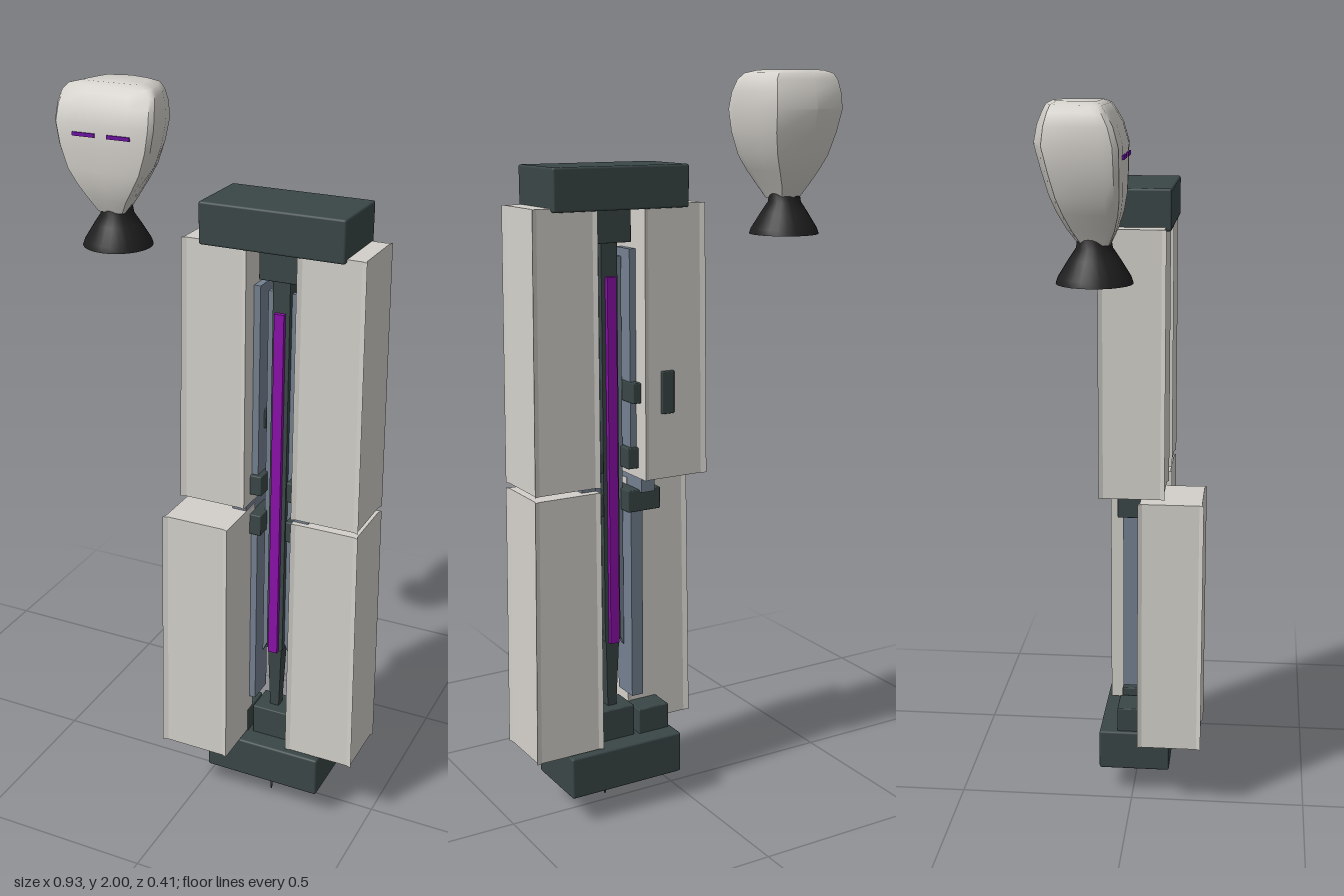
import * as THREE from 'three';
import { toCreasedNormals } from 'three/addons/utils/BufferGeometryUtils.js';
import { RoundedBoxGeometry } from 'three/addons/geometries/RoundedBoxGeometry.js';

const mat = (name, color, side = THREE.FrontSide) => {
  const m = new THREE.MeshStandardMaterial({ color, side });
  m.name = name;
  return m;
};

export function createModel() {
  const shell = mat('pale shell', 0xd3d0ca);
  const frame = mat('dark teal frame', 0x3a4646);
  const steel = mat('blue grey steel', 0x748090);
  const glow = mat('purple glow', 0x8a10a8);
  const eyeGlow = mat('violet eyes', 0x6a10a0);
  const black = mat('black rubber', 0x1e1e1e);

  const model = new THREE.Group();
  const CX = 0.195; // centre line of the cabinet

  const add = (name, geo, material) => {
    const m = new THREE.Mesh(geo, material);
    m.name = name;
    model.add(m);
    return m;
  };
  // box given by its extents
  const box = (name, material, x0, x1, y0, y1, z0, z1, r = 0) => {
    const s = [x1 - x0, y1 - y0, z1 - z0];
    const geo = r ? new RoundedBoxGeometry(...s, 2, r) : new THREE.BoxGeometry(...s);
    add(name, geo, material).position.set((x0 + x1) / 2, (y0 + y1) / 2, (z0 + z1) / 2);
  };
  // box mirrored about the centre line; a..b is the distance from it
  const pair = (name, material, a, b, ...rest) => {
    box(name, material, CX + a, CX + b, ...rest);
    box(name, material, CX - b, CX - a, ...rest);
  };

  // End blocks and collars
  box('topBlock', frame, 0, 0.39, 1.655, 1.765, -0.095, 0.105, 0.006);
  box('bottomBlock', frame, 0.025, 0.365, 0.08, 0.197, -0.097, 0.107, 0.006);
  box('topCollar', frame, 0.142, 0.248, 1.568, 1.66, -0.04, 0.05, 0.003);
  box('bottomCollar', frame, 0.142, 0.248, 0.19, 0.285, -0.04, 0.05, 0.003);

  // Foot plate with two fine pins
  box('footPlate', frame, 0.152, 0.238, 0.066, 0.082, -0.035, 0.052);
  box('longPin', frame, 0.196, 0.2, 0, 0.07, 0.033, 0.037);
  box('shortPin', frame, 0.193, 0.197, 0.04, 0.07, -0.018, -0.014);

  // Central column: narrow foot, main bar, glowing core
  const foot = new THREE.CylinderGeometry(0.029, 0.018, 0.22, 4, 1);
  foot.rotateY(Math.PI / 4);
  add('columnFoot', toCreasedNormals(foot, 0.5), frame).position.set(CX, 0.38, 0.005);
  box('columnBar', frame, 0.172, 0.219, 0.48, 1.58, -0.018, 0.028);
  box('glowCore', glow, 0.181, 0.208, 0.475, 1.48, -0.03, 0.04);

  // Thin steel blades with slanted lower tips
  for (const s of [-1, 1]) {
    const blade = new THREE.Shape([[0.022, 0.5], [0.042, 0.455], [0.042, 1.53], [0.022, 1.53]]
      .map(([x, y]) => new THREE.Vector2(s * x, y)));
    const geo = new THREE.ExtrudeGeometry(blade, { depth: 0.016, bevelEnabled: false });
    add('sideBlade', geo, steel).position.set(CX, 0, -0.003);
  }

  // Rails with dark mounts behind the shells
  pair('lowerRail', steel, 0.05, 0.085, 0.31, 0.86, -0.034, 0.044);
  pair('upperRail', steel, 0.05, 0.085, 1.0, 1.55, -0.034, 0.044);
  pair('railJoint', steel, 0.07, 0.11, 0.9, 0.99, -0.058, 0.075);
  pair('lowerMount', frame, 0.036, 0.135, 0.845, 0.905, -0.045, 0.055, 0.003);
  pair('upperMount', frame, 0.036, 0.135, 0.965, 1.022, -0.045, 0.055, 0.003);
  pair('footMount', frame, 0.066, 0.16, 0.19, 0.268, -0.045, 0.055, 0.003);

  // Shell panels: lipped section, widening outwards towards the floor
  const panel = (name, s, y0, y1, outTop, outBottom, zc) => {
    const i = 0.068, o = outTop, h = 0.09, l = 0.005;
    const pts = [[i, -h], [i + 0.012, -h + l], [o - 0.014, -h + l], [o, -h], [o - l, -h + 0.012],
      [o - l, h - 0.012], [o, h], [o - 0.014, h - l], [i + 0.012, h - l], [i, h]];
    const shape = new THREE.Shape(pts.map(([x, z]) => new THREE.Vector2(s * x, z)));
    const geo = new THREE.ExtrudeGeometry(shape, { depth: y1 - y0, bevelEnabled: false });
    geo.rotateX(-Math.PI / 2);
    const p = geo.attributes.position;
    for (let k = 0; k < p.count; k++) {
      const t = 1 - p.getY(k) / (y1 - y0);
      const f = 1 + t * ((outBottom - i) / (outTop - i) - 1);
      p.setX(k, s * (i + (Math.abs(p.getX(k)) - i) * f));
    }
    geo.computeVertexNormals();
    add(name, geo, shell).position.set(CX, y0, zc);
  };
  panel('upperLeftPanel', 1, 0.938, 1.665, 0.248, 0.257, 0.005);
  panel('upperRightPanel', -1, 0.938, 1.665, 0.248, 0.257, 0.005);
  panel('lowerLeftPanel', 1, 0.2, 0.924, 0.257, 0.268, 0.005);
  panel('lowerRightPanel', -1, 0.2, 0.924, 0.257, 0.268, 0.112); // slid forward

  // Handle and latch of the upper right panel
  box('panelHandle', frame, 0.04, 0.078, 1.115, 1.23, -0.088, -0.076, 0.003);
  box('panelLatch', frame, 0.11, 0.15, 1.145, 1.2, -0.06, 0.01, 0.003);

  // Head: one faceted section, scaled at each height [y, half width, back z, front z]
  const HX = -0.322;
  const levels = [[1.665, 0.038, -0.1, -0.02], [1.7, 0.06, -0.128, -0.004], [1.74, 0.088, -0.152, 0.008],
    [1.78, 0.113, -0.17, 0.014], [1.84, 0.134, -0.188, 0.016], [1.9, 0.145, -0.204, 0.016],
    [1.945, 0.142, -0.195, 0.003], [1.975, 0.135, -0.182, -0.014], [1.992, 0.12, -0.172, -0.026],
    [2.0, 0.085, -0.155, -0.042]];
  const half = [[0.72, 0.15], [0.87, 0.45], [0.98, 0.8], [1, 0.92], [0.93, 0.98], [0.5, 1]];
  const ring = [[0, 0], ...half, [0, 1], ...half.map(([u, v]) => [-u, v]).reverse()];
  const n = ring.length, pos = [], idx = [];
  for (const [y, w, zb, zf] of levels)
    for (const [u, v] of ring) pos.push(HX + u * w, y, zb + v * (zf - zb));
  for (let r = 0; r < levels.length - 1; r++)
    for (let k = 0; k < n; k++) {
      const a = r * n + k, b = r * n + (k + 1) % n;
      idx.push(a, a + n, b, b, a + n, b + n);
    }
  const top = (levels.length - 1) * n;
  pos.push(HX, 2.0, -0.1, HX, 1.665, -0.06);
  for (let k = 0; k < n; k++) {
    const k2 = (k + 1) % n;
    idx.push(top + k, top + n, top + k2, k, k2, top + n + 1);
  }
  const head = new THREE.BufferGeometry();
  head.setAttribute('position', new THREE.Float32BufferAttribute(pos, 3));
  head.setIndex(idx);
  add('head', toCreasedNormals(head, 0.7), shell);

  // Eye slits
  for (const x of [-0.372, -0.27]) box('eye', eyeGlow, x - 0.033, x + 0.033, 1.869, 1.879, 0.012, 0.02);

  // Flared neck
  const neck = [[0, 1.57], [0.095, 1.57], [0.09, 1.585], [0.062, 1.63], [0.045, 1.655], [0.04, 1.685], [0, 1.685]];
  const neckGeo = new THREE.LatheGeometry(neck.map(([r, y]) => new THREE.Vector2(r, y)), 24);
  add('neck', toCreasedNormals(neckGeo, 0.8), black).position.set(HX, 0, -0.06);

  return model;
}
